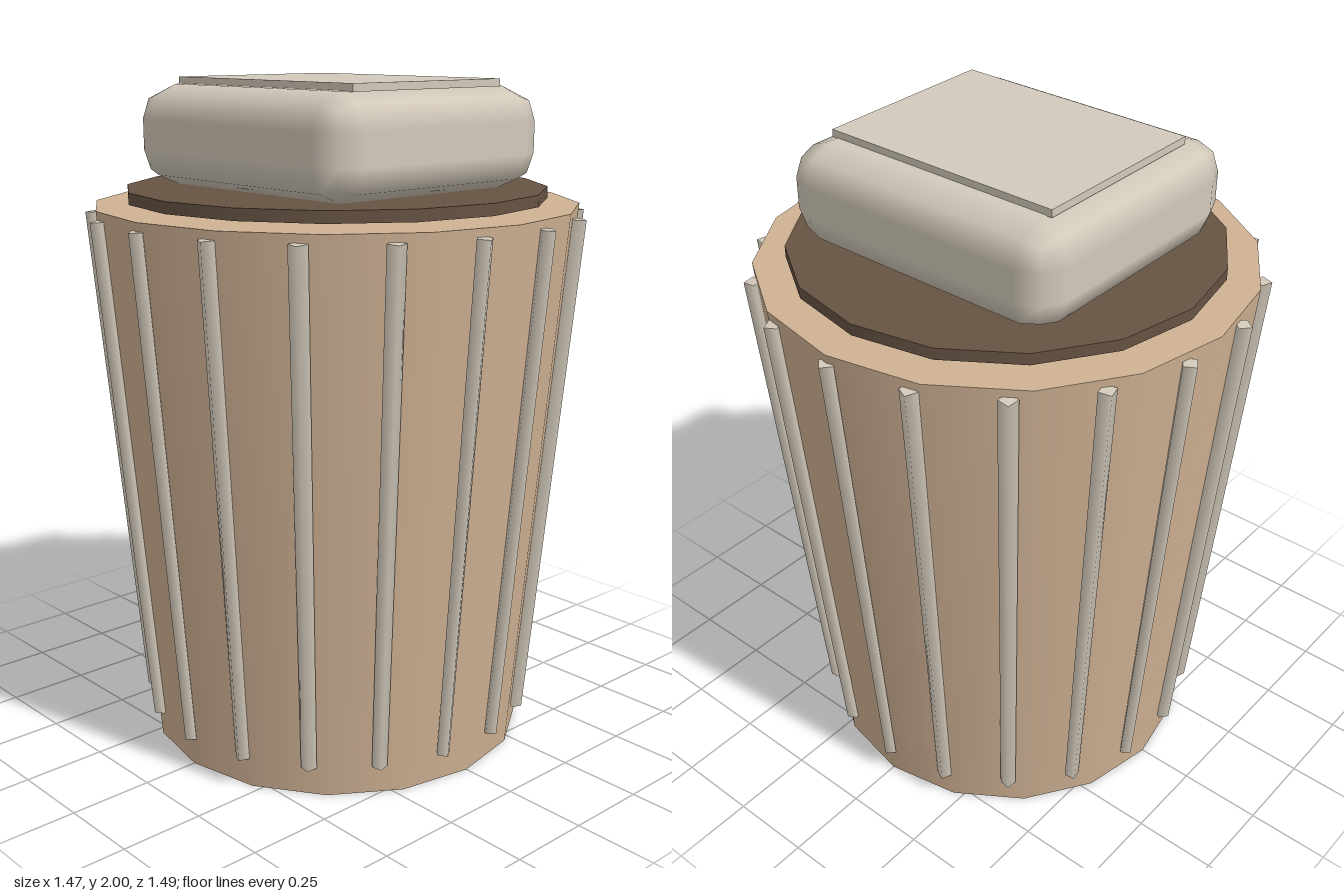
import * as THREE from 'three';
import { RoundedBoxGeometry } from 'three/addons/geometries/RoundedBoxGeometry.js';

const material = (color) => new THREE.MeshStandardMaterial({ color });

export function createModel() {
  const model = new THREE.Group();
  const tan = material(0xd0b294);
  const cream = material(0xd2c9ba);
  const brown = material(0x665343);

  const add = (name, geometry, mat, y = 0, parent = model) => {
    const mesh = new THREE.Mesh(geometry, mat);
    mesh.name = name;
    mesh.position.y = y;
    parent.add(mesh);
    return mesh;
  };

  // Tapered sixteen-sided container
  const topRadius = 0.72, bottomRadius = 0.577, height = 1.64;
  add('body', new THREE.CylinderGeometry(topRadius, bottomRadius, height, 16), tan, height / 2);

  // Slim four-sided ribs leaning with the wall, one corner facing outward
  const ribs = new THREE.Group();
  ribs.name = 'ribs';
  model.add(ribs);
  const count = 18, low = 0.09, high = 1.615;
  const radiusAt = (y) => bottomRadius + (topRadius - bottomRadius) * y / height;
  const lean = Math.atan2(radiusAt(high) - radiusAt(low), high - low);
  const ribGeometry = new THREE.CylinderGeometry(0.027, 0.023, (high - low) / Math.cos(lean), 4);
  ribGeometry.rotateX(lean);
  ribGeometry.translate(0, 0, radiusAt((low + high) / 2));
  for (let i = 0; i < count; i++) {
    const rib = add('rib', ribGeometry, cream, (low + high) / 2, ribs);
    rib.rotation.y = (i / count) * Math.PI * 2;
  }

  // Thin disc just above the rim
  add('collar', new THREE.CylinderGeometry(0.625, 0.625, 0.034, 16), brown, 1.671);

  // Rounded block with a flat plate on top
  add('lid', new RoundedBoxGeometry(0.92, 0.292, 0.83, 1, 0.1), cream, 1.834);
  add('lidPlate', new THREE.BoxGeometry(0.76, 0.022, 0.574), cream, 1.989);

  return model;
}
